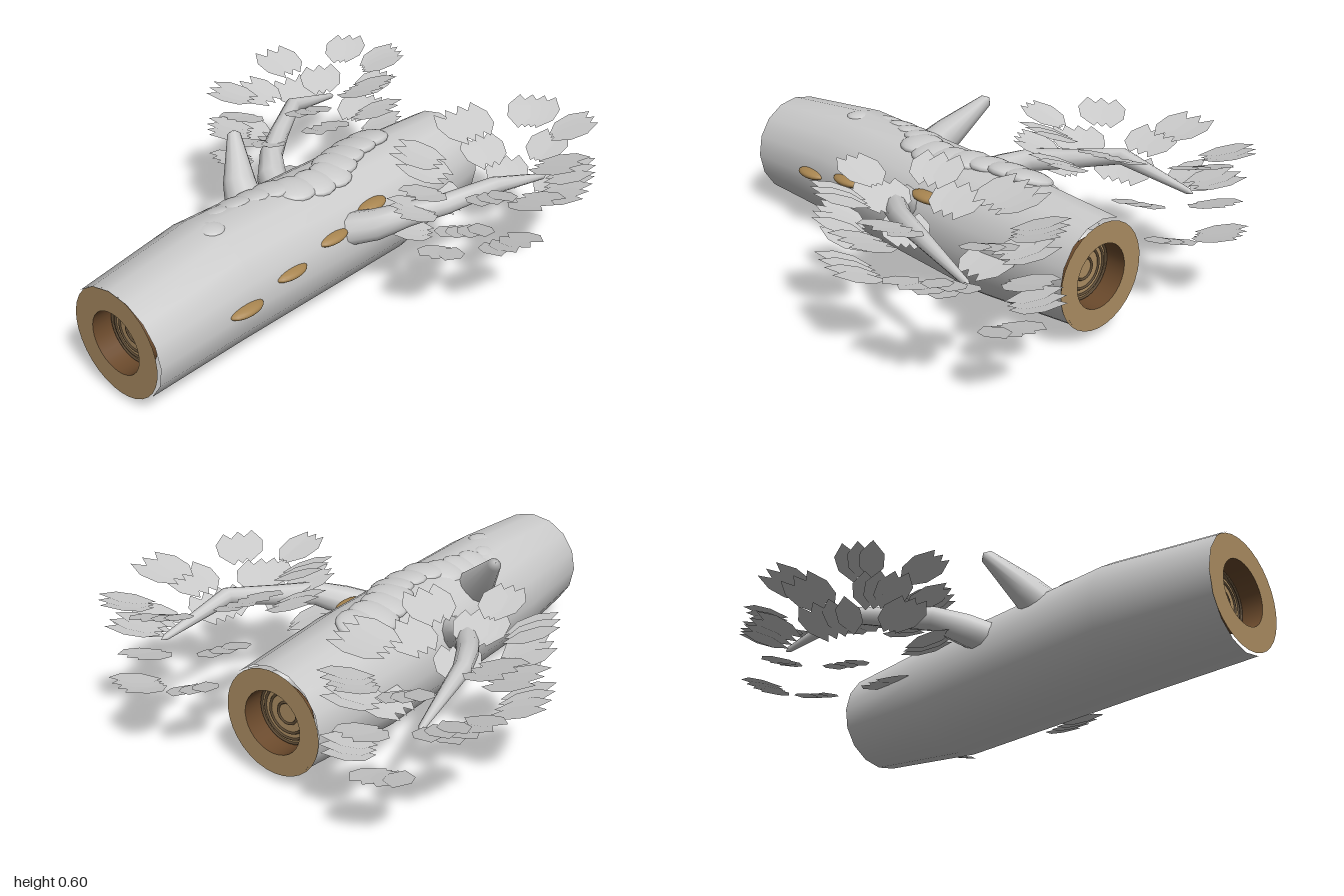
import * as THREE from 'three';

const V = (x, y, z) => new THREE.Vector3(x, y, z);
const paint = (color, side = THREE.FrontSide) => new THREE.MeshStandardMaterial({ color, side });
const GREY = paint(0xcccccc);
const LEAF = paint(0xcccccc, THREE.DoubleSide);
const WOOD = paint(0xa88a60);
const HEART = paint(0x6b4a2c, THREE.DoubleSide);
const RING = paint(0x5c4a34);
const KNOT = paint(0xa88550);

function add(parent, name, geometry, material) {
  const mesh = new THREE.Mesh(geometry, material);
  mesh.name = name;
  parent.add(mesh);
  return mesh;
}

// Smooth tapering limb through rows of [x, y, z, radius]
function limb(rows, sides) {
  const pts = rows.map(r => V(r[0], r[1], r[2]));
  const pos = [], index = [];
  rows.forEach((row, i) => {
    const t = pts[Math.min(i + 1, pts.length - 1)].clone().sub(pts[Math.max(i - 1, 0)]).normalize();
    const n = V(0, 1, 0).addScaledVector(t, -t.y).normalize();
    const b = t.clone().cross(n);
    for (let j = 0; j < sides; j++) {
      const a = j / sides * Math.PI * 2;
      const p = pts[i].clone().addScaledVector(n, Math.cos(a) * row[3]).addScaledVector(b, Math.sin(a) * row[3]);
      pos.push(p.x, p.y, p.z);
      if (i < rows.length - 1) {
        const p0 = i * sides + j, p1 = i * sides + (j + 1) % sides;
        index.push(p0, p1, p0 + sides, p1, p1 + sides, p0 + sides);
      }
    }
  });
  const g = new THREE.BufferGeometry();
  g.setAttribute('position', new THREE.Float32BufferAttribute(pos, 3));
  g.setIndex(index);
  g.computeVertexNormals();
  return g;
}

// Cut end: sawn rim, hollow heart and growth rings
function cutEnd(radius) {
  const end = new THREE.Group();
  const hole = 0.12, depth = 0.08;
  add(end, 'cutRim', new THREE.RingGeometry(hole, radius, 32), WOOD);
  const wall = add(end, 'hollowWall', new THREE.CylinderGeometry(hole, hole, depth, 32, 1, true), HEART);
  wall.rotation.x = Math.PI / 2;
  wall.position.z = -depth / 2;
  add(end, 'hollowFloor', new THREE.CircleGeometry(hole, 32), WOOD).position.z = -depth;
  for (const r of [0.04, 0.075, 0.098, 0.114]) {
    add(end, 'growthRing', new THREE.TorusGeometry(r, 0.005, 6, 32), RING).position.z = -depth;
  }
  return end;
}

// Pointed leaf lying flat, its length along +x
function leafGeometry(length, width) {
  const l = length / 2, w = width / 2;
  const shape = new THREE.Shape([[-l, 0], [-l * 0.35, -w], [l * 0.35, -w], [l, 0], [l * 0.35, w], [-l * 0.35, w]]
    .map(p => new THREE.Vector2(p[0], p[1])));
  return new THREE.ShapeGeometry(shape).rotateX(-Math.PI / 2);
}

// Oval wreath of leaves in spiral order; every 21st leaf joins the same cluster
const clusterHeights = [
  0.27, 0.41, 0.55, 0.385, 0.43, 0.555, 0.315, 0.455, 0.555, 0.315, 0.4,
  0.55, 0.3, 0.41, 0.535, 0.265, 0.415, 0.535, 0.275, 0.455, 0.55,
];
function foliage(side) {
  const group = new THREE.Group();
  group.name = side > 0 ? 'frontFoliage' : 'backFoliage';
  const geometry = leafGeometry(0.2, 0.09);
  for (let i = 0; i < 70; i++) {
    const a = i * 2.4;
    const leaf = add(group, 'leaf', geometry, LEAF);
    leaf.position.set(0.485 + 0.415 * Math.cos(a), clusterHeights[i % 21], side * (0.48 + 0.235 * Math.sin(a)));
    leaf.rotation.set(0, -side * a, 0.3, 'YXZ');
  }
  return group;
}

export function createModel() {
  const model = new THREE.Group();
  model.name = 'fallenLog';

  // Trunk
  add(model, 'trunk', limb([
    [-0.99, 0.235, 0, 0.215], [-0.55, 0.25, -0.02, 0.242],
    [0.33, 0.237, 0, 0.237], [0.79, 0.25, 0, 0.2],
  ], 16), GREY);

  // Sawn ends
  const leftEnd = cutEnd(0.2);
  leftEnd.name = 'leftCutEnd';
  leftEnd.position.set(0.793, 0.24, 0);
  leftEnd.rotation.y = Math.PI / 2;
  const rightEnd = cutEnd(0.21);
  rightEnd.name = 'rightCutEnd';
  rightEnd.position.set(-0.992, 0.237, 0);
  rightEnd.rotation.y = -Math.PI / 2;
  model.add(leftEnd, rightEnd);

  // Row of knots along the front
  for (let i = 0; i < 4; i++) {
    const knot = add(model, 'knot', new THREE.SphereGeometry(1, 20, 12), KNOT);
    knot.scale.set(0.077, 0.02, 0.04);
    knot.position.set(-0.59 + i * 0.232, 0.265 + i * 0.035, 0.213 - i * 0.008);
  }

  // Moss mounds on top: x, z, radius
  const moss = [
    [-0.54, 0.0, 0.05], [-0.44, -0.1, 0.065], [-0.35, -0.09, 0.075], [-0.27, -0.07, 0.075], [-0.19, -0.05, 0.08],
    [-0.13, 0.01, 0.085], [-0.04, 0.03, 0.085], [0.05, 0.03, 0.085], [0.12, -0.01, 0.09],
    [0.2, -0.04, 0.09], [0.29, -0.06, 0.095], [0.375, -0.065, 0.093],
  ];
  for (const [x, z, r] of moss) {
    const mound = add(model, 'moss', new THREE.SphereGeometry(r, 16, 10), GREY);
    mound.scale.y = 0.33;
    mound.position.set(x, 0.23 + Math.sqrt(0.235 ** 2 - z * z) + Math.max(0, -0.022 * x), z);
    mound.rotation.x = Math.asin(z / 0.235);
  }

  // Broken stub
  add(model, 'brokenStub', limb([
    [-0.25, 0.37, -0.12, 0.08], [-0.205, 0.45, -0.2, 0.063],
    [-0.115, 0.58, -0.315, 0.026], [-0.108, 0.592, -0.325, 0.001],
  ], 12), GREY);

  // Matching branches and foliage, front and back
  for (const side of [1, -1]) {
    const rows = [
      [-0.02, 0.31, 0.17, 0.065], [0.04, 0.345, 0.27, 0.06], [0.12, 0.385, 0.35, 0.047], [0.25, 0.405, 0.43, 0.04],
      [0.43, 0.443, 0.52, 0.033], [0.72, 0.377, 0.557, 0.012], [0.74, 0.373, 0.559, 0.001],
    ].map(([x, y, z, r]) => [x, y, side * z, r]);
    add(model, side > 0 ? 'frontBranch' : 'backBranch', limb(rows, 10), GREY);
    model.add(foliage(side));
  }
  return model;
}
